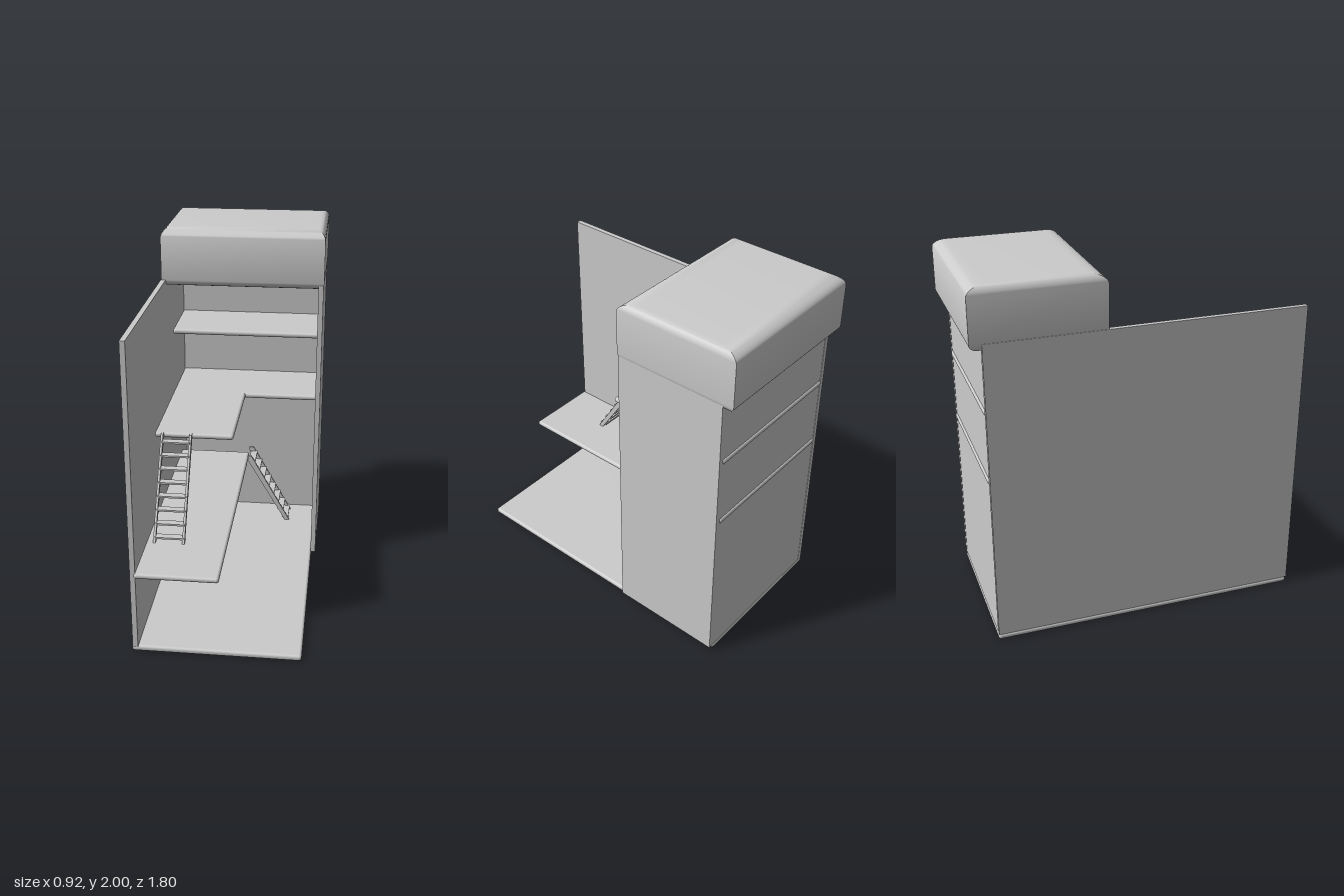
import * as THREE from 'three';
import { RoundedBoxGeometry } from 'three/addons/geometries/RoundedBoxGeometry.js';
import { toCreasedNormals } from 'three/addons/utils/BufferGeometryUtils.js';

const material = new THREE.MeshStandardMaterial({ color: 0xcccccc });

function add(parent, name, geometry) {
  const mesh = new THREE.Mesh(geometry, material);
  mesh.name = name;
  parent.add(mesh);
  return mesh;
}

// Boxes are given by their limits; a positive radius rounds the edges.
function slab(parent, name, [x0, x1], [y0, y1], [z0, z1], radius = 0) {
  const size = [x1 - x0, y1 - y0, z1 - z0];
  const geometry = radius
    ? new RoundedBoxGeometry(...size, 4, radius)
    : new THREE.BoxGeometry(...size);
  const mesh = add(parent, name, geometry);
  mesh.position.set((x0 + x1) / 2, (y0 + y1) / 2, (z0 + z1) / 2);
  return mesh;
}

// Staircase starting at the local origin and descending towards +z.
function staircase(name, run, rise, width, steps) {
  const stairs = new THREE.Group();
  stairs.name = name;
  const depth = 0.028, thick = 0.013;
  const side = new THREE.Shape([
    new THREE.Vector2(0, 0), new THREE.Vector2(0, -0.02),
    new THREE.Vector2(run - depth, -rise), new THREE.Vector2(run, -rise),
    new THREE.Vector2(depth, 0),
  ]);
  for (const s of [-1, 1]) {
    const geometry = new THREE.ExtrudeGeometry(side, { depth: thick, bevelEnabled: false });
    geometry.translate(0, 0, -thick / 2).rotateY(-Math.PI / 2);
    add(stairs, 'stringer', geometry).position.x = s * (width - thick) / 2;
  }
  for (let i = 0; i < steps; i++) {
    const t = (i + 0.6) / steps;
    const tread = add(stairs, 'tread', new THREE.BoxGeometry(width - thick, 0.01, 0.042));
    tread.position.set(0, -rise * t, depth / 2 + (run - depth) * t);
  }
  return stairs;
}

// Cushioned roof: rectangular rings with rounded upper and lower borders.
function roofGeometry(halfX, halfZ) {
  const rings = [], n = 8;
  for (let i = n; i >= 0; i--) {
    const a = (i / n) * Math.PI / 2;
    rings.push([halfX - 0.03 * (1 - Math.cos(a)), 1.715 - 0.04 * Math.sin(a), halfZ - 0.065 * (1 - Math.cos(a))]);
  }
  for (let i = 0; i <= n; i++) {
    const a = (i / n) * Math.PI / 2;
    rings.push([halfX - 0.045 * (1 - Math.cos(a)), 1.95 + 0.05 * Math.sin(a), halfZ - 0.1 * (1 - Math.cos(a))]);
  }
  const positions = [], index = [];
  for (const [x, y, z] of rings) positions.push(-x, y, z, x, y, z, x, y, -z, -x, y, -z);
  for (let r = 0; r < rings.length - 1; r++) {
    for (let k = 0; k < 4; k++) {
      const a = r * 4 + k, b = r * 4 + (k + 1) % 4;
      index.push(a, b, b + 4, a, b + 4, a + 4);
    }
  }
  const top = (rings.length - 1) * 4;
  index.push(0, 2, 1, 0, 3, 2, top, top + 1, top + 2, top, top + 2, top + 3);
  const geometry = new THREE.BufferGeometry();
  geometry.setAttribute('position', new THREE.Float32BufferAttribute(positions, 3));
  geometry.setIndex(index);
  return toCreasedNormals(geometry, Math.PI / 5);
}

export function createModel() {
  const model = new THREE.Group();
  model.name = 'openTowerHouse';

  // Walls
  slab(model, 'longSideWall', [-0.455, -0.427], [0.03, 1.715], [-0.84, 0.89]);
  slab(model, 'shortSideWall', [0.427, 0.455], [0.03, 1.715], [-0.84, -0.205]);
  slab(model, 'backWall', [-0.43, 0.43], [0.03, 1.715], [-0.838, -0.81]);

  // Floors with rounded rims
  const r = 0.0145;
  slab(model, 'baseFloor', [-0.46, 0.43], [0, 0.033], [-0.842, 0.885], r);
  slab(model, 'secondFloor', [-0.435, 0.003], [0.445, 0.475], [-0.66, 0.9], r);
  slab(model, 'thirdFloor', [-0.43, 0.43], [0.945, 0.976], [-0.847, -0.4], r);
  slab(model, 'thirdFloorLanding', [-0.43, 0.003], [0.946, 0.976], [-0.42, 0.24], r);
  slab(model, 'fourthFloor', [-0.43, 0.43], [1.33, 1.361], [-0.847, -0.41], r);

  // Roof
  add(model, 'roof', roofGeometry(0.455, 0.35)).position.set(0.003, 0, -0.552);

  // Stairs
  const upper = staircase('upperStairs', 0.34, 0.5, 0.17, 8);
  upper.position.set(-0.308, 0.976, 0.233);
  const lower = staircase('lowerStairs', 0.275, 0.44, 0.16, 8);
  lower.position.set(-0.005, 0.472, -0.675);
  lower.rotation.y = Math.PI / 2;
  model.add(upper, lower);

  return model;
}
